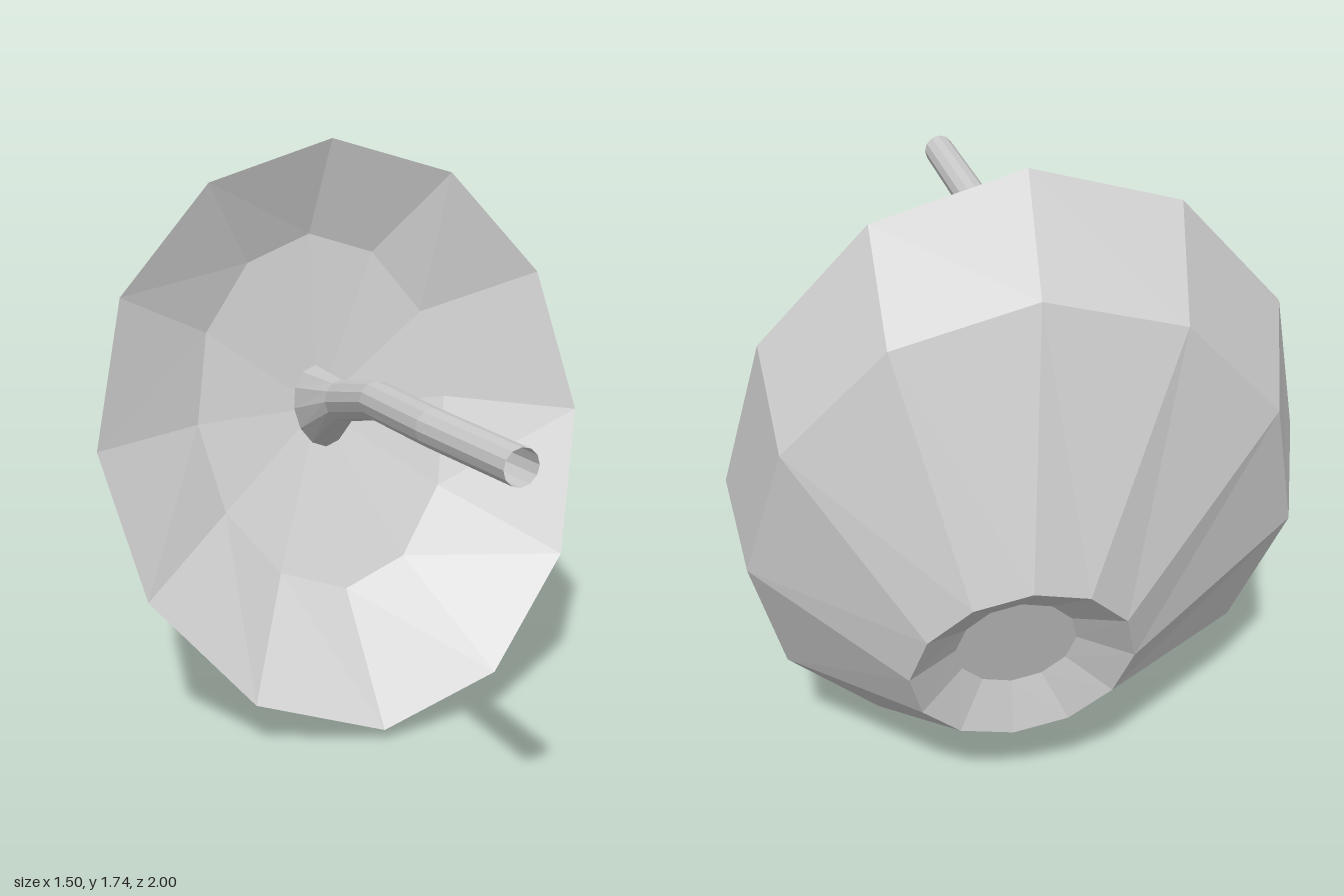
import * as THREE from 'three';

// Skin a list of elliptical rings, ordered back to front.
// Each ring is { c: centre, u: half-axis at the top, v: half-axis to the +x side,
// bend: how far top and bottom curl forward while the sides curl back }.
function loft(rings, sides) {
  const positions = [], index = [];
  for (const { c, u, v, bend } of rings) {
    for (let j = 0; j < sides; j++) {
      const a = (j / sides) * Math.PI * 2;
      const [x, y, z] = c.map((m, k) => m + u[k] * Math.cos(a) + v[k] * Math.sin(a));
      positions.push(x, y, z + bend * Math.cos(2 * a));
    }
  }
  const isPoint = (r) => Math.hypot(...r.u, ...r.v) === 0;
  for (let i = 0; i < rings.length - 1; i++) {
    for (let j = 0; j < sides; j++) {
      const a = i * sides + j, a1 = i * sides + ((j + 1) % sides);
      const b = a + sides, b1 = a1 + sides;
      if (!isPoint(rings[i + 1])) index.push(a, b, b1);
      if (!isPoint(rings[i])) index.push(a, b1, a1);
    }
  }
  const geometry = new THREE.BufferGeometry();
  geometry.setAttribute('position', new THREE.Float32BufferAttribute(positions, 3));
  geometry.setIndex(index);
  const flat = geometry.toNonIndexed();
  flat.computeVertexNormals();
  return flat;
}

const ring = (c, u, v, bend = 0) => ({ c, u, v, bend });
const point = (c) => ring(c, [0, 0, 0], [0, 0, 0]);

export function createModel() {
  const model = new THREE.Group();
  model.name = 'mushroom';

  const material = new THREE.MeshStandardMaterial({ color: 0xcccccc, flatShading: true });
  const openMaterial = material.clone();
  openMaterial.side = THREE.DoubleSide;

  // Tilted cap: dimple in the crown, crown edge, shoulder, rim, then the hollow underside
  const cap = new THREE.Mesh(loft([
    point([0.14, 0.588, -0.81]),
    ring([0.14, 0.588, -0.81], [0.01, 0.16, -0.058], [0.152, 0, 0.022]),
    ring([0.15, 0.57, -0.885], [0.02, 0.295, -0.112], [0.28, 0, 0.04]),
    ring([0.065, 0.768, -0.625], [0.04, 0.767, -0.24], [0.685, -0.01, 0.12], 0.025),
    ring([0, 0.893, -0.37], [0.04, 0.852, -0.24], [0.747, -0.005, 0.11], 0.04),
    ring([-0.01, 0.92, -0.54], [0.01, 0.53, -0.137], [0.39, 0.01, 0.06], 0.015),
    point([-0.01, 0.92, -0.595]),
  ], 12), material);
  cap.name = 'cap';
  model.add(cap);

  // Bent stem, flared where it meets the cap and open at the far end
  const stem = new THREE.Mesh(loft([
    ring([-0.012, 0.93, -0.57], [0, 0.122, -0.035], [0.085, 0, 0.012]),
    ring([-0.055, 1.013, -0.32], [0, 0.06, -0.012], [0.055, 0, 0.01]),
    ring([-0.155, 1.13, 0.11], [0, 0.053, -0.008], [0.053, 0, 0.01]),
    ring([-0.232, 1.18, 0.56], [0, 0.05, -0.003], [0.049, 0, 0.005]),
    ring([-0.25, 1.205, 1], [0, 0.047, 0], [0.047, 0, 0]),
  ], 12), openMaterial);
  stem.name = 'stem';
  model.add(stem);

  return model;
}
